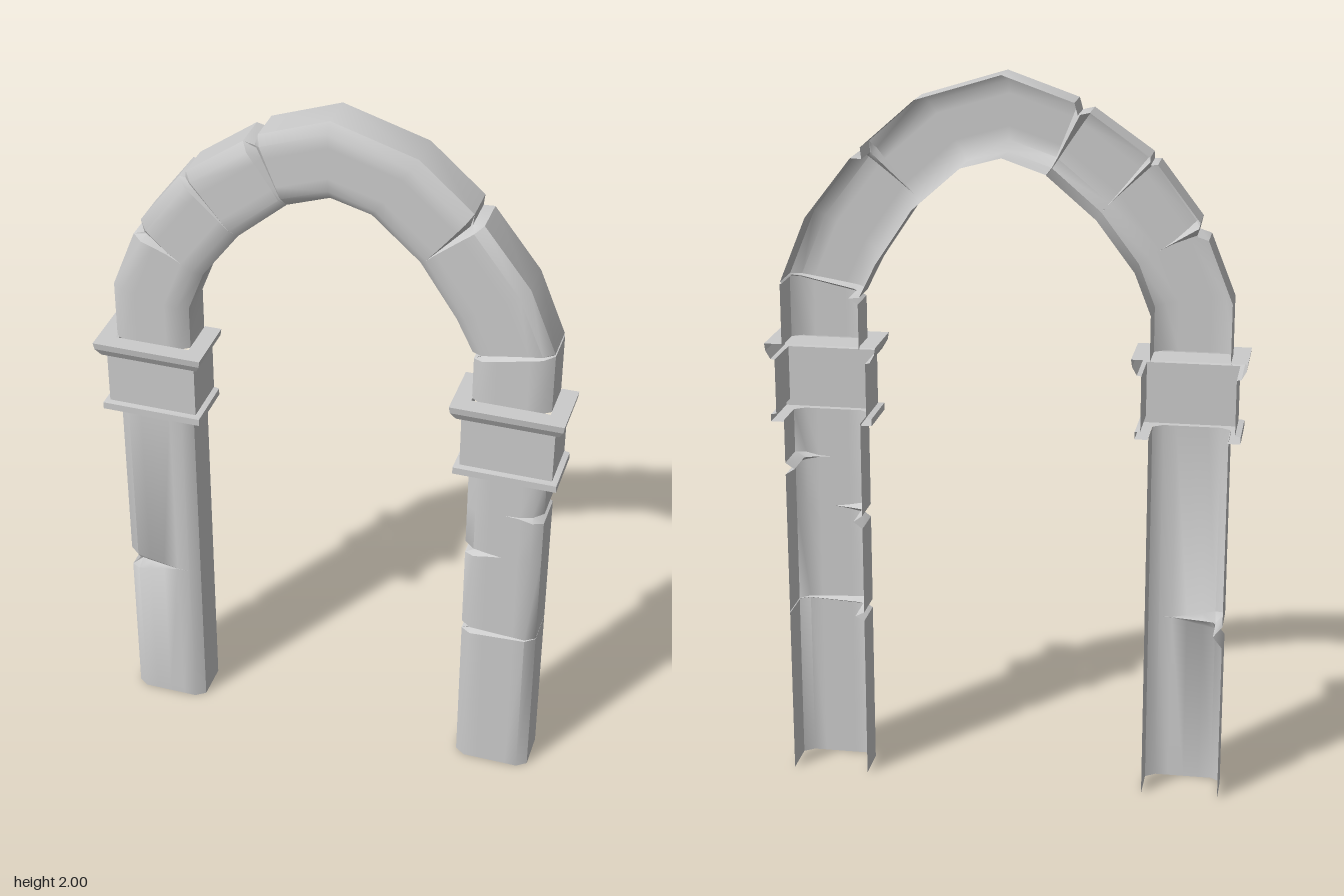
import * as THREE from 'three';
import { toCreasedNormals } from 'three/addons/utils/BufferGeometryUtils.js';

const BACK = -0.086, FRONT = 0.04;
const stone = new THREE.MeshStandardMaterial({ color: 0xcccccc, side: THREE.DoubleSide });

// Skin a list of equal-length point rows, skipping collapsed triangles
function skin(name, rows, crease) {
  const pos = [];
  const tri = (a, b, c) => {
    const area = b.clone().sub(a).cross(c.clone().sub(a)).length();
    if (area > 1e-7) for (const p of [a, b, c]) pos.push(p.x, p.y, p.z);
  };
  for (let i = 0; i < rows.length - 1; i++) {
    for (let j = 0; j < rows[i].length - 1; j++) {
      const a = rows[i][j], b = rows[i][j + 1], c = rows[i + 1][j + 1], d = rows[i + 1][j];
      tri(a, b, c);
      tri(a, c, d);
    }
  }
  const geo = new THREE.BufferGeometry();
  geo.setAttribute('position', new THREE.Float32BufferAttribute(pos, 3));
  const mesh = new THREE.Mesh(toCreasedNormals(geo, crease), stone);
  mesh.name = name;
  return mesh;
}

// Open-backed section: [u across from outer to inner edge, z, inward du, inward dz]
const section = [
  [0, BACK, 1, 0], [0, 0.02, 1, 0], [0.13, FRONT, 0.3, -1], [0.3, FRONT, 0, -1],
  [0.5, FRONT, 0, -1], [0.7, FRONT, 0, -1], [0.87, FRONT, -0.3, -1],
  [1, 0.02, -1, 0], [1, BACK, -1, 0],
];

// Sweep the section along stations [outerX, outerY, innerX, innerY].
// Cracks are V-notches: t station, w half width, widest at u = a and closing at u = b.
function cracked(name, stations, cracks) {
  const last = stations.length - 1;
  const at = (t, u, z) => {
    const i = Math.min(Math.floor(t), last - 1), k = t - i;
    const [ox, oy, ix, iy] = stations[i].map((v, n) => v + (stations[i + 1][n] - v) * k);
    return new THREE.Vector3(ox + (ix - ox) * u, oy + (iy - oy) * u, z);
  };
  const rings = stations.map((_, t) => ({ t, row: section.map(([u, z]) => at(t, u, z)) }))
    .filter(({ t }) => !cracks.some((c) => Math.abs(c.t - t) <= c.w));
  for (const { t, w, a, b, d = 0.025 } of cracks) {
    for (const side of [-1, 0, 1]) {
      const row = section.map(([u, z, du, dz]) => {
        const f = THREE.MathUtils.clamp((u - b) / (a - b), 0, 1);
        const depth = side === 0 ? d * f : 0;
        return at(t + side * w * f, u + du * depth / 0.21, z + dz * depth);
      });
      rings.push({ t: t + side * w, row });
    }
  }
  rings.sort((p, q) => p.t - q.t);
  return skin(name, rings.map((r) => r.row), 0.8);
}

// Three-sided moulded block: [projection from the shaft, y]
function capital(name, cx) {
  const profile = [
    [0, 1.04], [0.035, 1.04], [0.035, 1.06], [0.02, 1.063], [0.02, 1.215],
    [0.032, 1.217], [0.045, 1.24], [0.048, 1.26], [0, 1.26],
  ];
  const rows = profile.map(([o, y]) => {
    const h = 0.106 + o, z = FRONT + o;
    return [[-h, BACK], [-h, z], [h, z], [h, BACK]].map(([x, zz]) => new THREE.Vector3(cx + x, y, zz));
  });
  return skin(name, rows, 0.3);
}

export function createModel() {
  const group = new THREE.Group();
  group.name = 'stoneArch';
  const top = 1.045;

  // Shafts
  group.add(cracked('rightShaft', [[-0.61, 0, -0.397, 0], [-0.61, top, -0.397, top]], [
    { t: 0.485 / top, w: 0.03, a: 0, b: 0.72 },
  ]));
  group.add(cracked('leftShaft', [[0.604, top, 0.39, top], [0.604, 0, 0.39, 0]], [
    { t: 1 - 0.905 / top, w: 0.016, a: 0, b: 0.35 },
    { t: 1 - 0.76 / top, w: 0.018, a: 1, b: 0.55 },
    { t: 1 - 0.48 / top, w: 0.012, a: 1, b: -0.1 },
  ]));

  // Capitals
  group.add(capital('rightCapital', -0.501), capital('leftCapital', 0.499));

  // Pointed, faceted arch
  group.add(cracked('arch', [
    [-0.61, 1.255, -0.397, 1.255], [-0.61, 1.42, -0.397, 1.38], [-0.53, 1.62, -0.35, 1.5],
    [-0.4, 1.79, -0.25, 1.63], [-0.2, 1.93, -0.11, 1.75], [0, 2, 0, 1.785],
    [0.23, 1.93, 0.11, 1.755], [0.39, 1.79, 0.24, 1.64], [0.53, 1.61, 0.34, 1.49],
    [0.604, 1.43, 0.39, 1.39], [0.604, 1.255, 0.39, 1.255],
  ], [
    { t: 1.95, w: 0.12, a: 0, b: 0.6 },
    { t: 3, w: 0.06, a: 0, b: 0.9, d: 0.015 },
    { t: 3.95, w: 0.1, a: 0, b: 1.1 },
    { t: 7, w: 0.09, a: 0, b: 0.85 },
    { t: 9, w: 0.08, a: 1, b: -0.3 },
  ]));
  return group;
}
